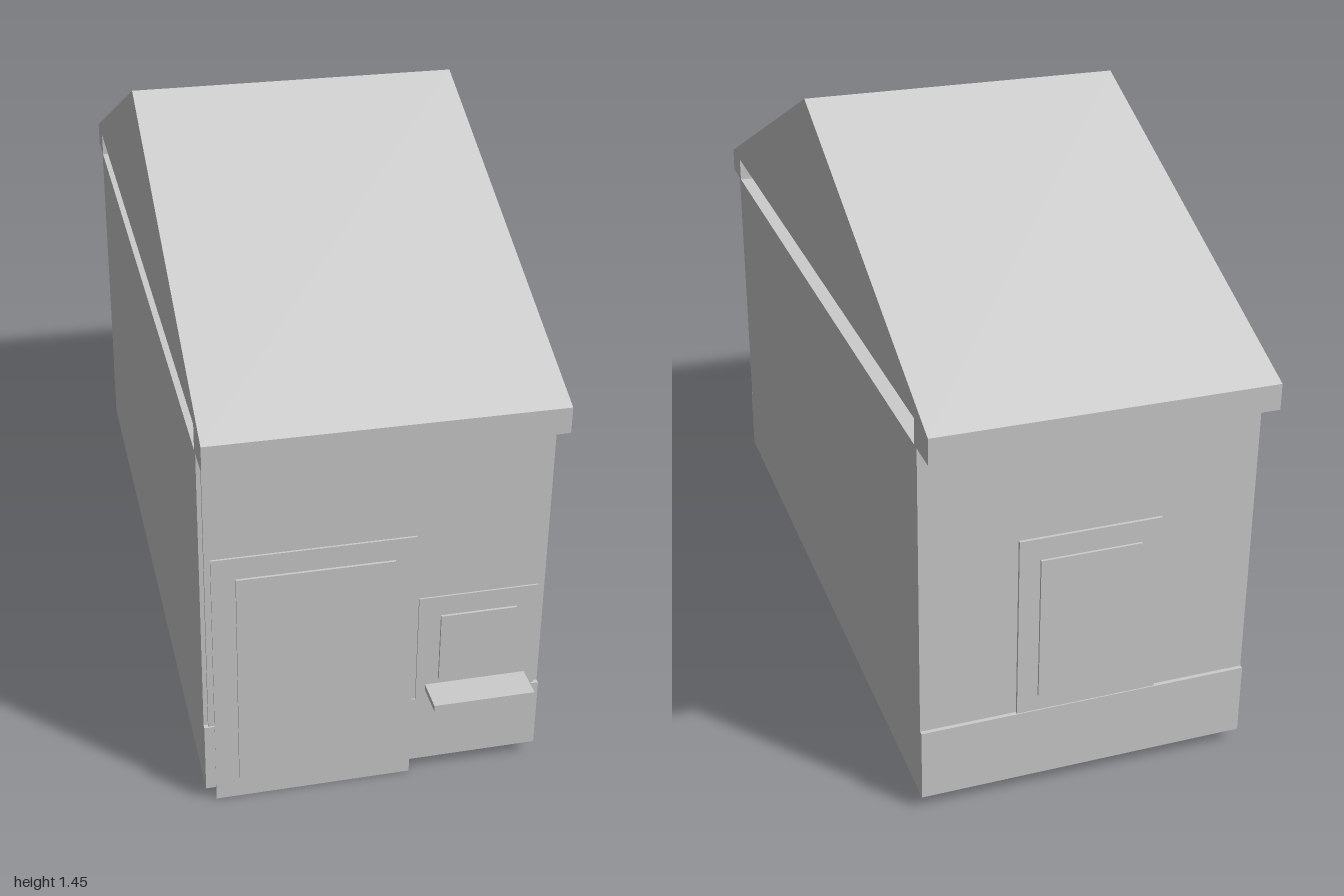
import * as THREE from 'three';

export function createModel() {
  const group = new THREE.Group();
  const plaster = new THREE.MeshStandardMaterial({ color: 0xcccccc });
  plaster.name = 'pale grey';

  const add = (name, geometry) => {
    const mesh = new THREE.Mesh(geometry, plaster);
    mesh.name = name;
    group.add(mesh);
    return mesh;
  };
  // Box given by its limits on each axis
  const box = (name, [x0, x1], [y0, y1], [z0, z1]) =>
    add(name, new THREE.BoxGeometry(x1 - x0, y1 - y0, z1 - z0))
      .position.set((x0 + x1) / 2, (y0 + y1) / 2, (z0 + z1) / 2);

  const W = 0.404;
  const full = [-W, W];

  // Main block and the slightly proud plinths at both ends
  box('body', full, [0.035, 0.945], [-0.914, 0.909]);
  box('frontPlinth', full, [0.035, 0.215], [0.909, 0.92]);
  box('backPlinth', full, [0.035, 0.215], [-0.924, -0.914]);
  box('frontWallPanel', [-0.394, 0.392], [0.215, 0.945], [0.909, 0.916]);

  // Front door: surround and leaf
  box('doorSurround', [-0.38, 0.09], [0, 0.675], [0.913, 0.921]);
  box('doorLeaf', [-0.325, 0.04], [0.055, 0.62], [0.921, 0.927]);

  // Front window with a projecting shelf
  box('windowSurround', [0.1, 0.385], [0.215, 0.502], [0.912, 0.92]);
  box('windowPane', [0.153, 0.335], [0.268, 0.45], [0.92, 0.926]);
  box('windowShelf', [0.122, 0.365], [0.24, 0.255], [0.92, 1.0]);

  // Back window
  box('backWindowSurround', [-0.172, 0.172], [0.215, 0.675], [-0.921, -0.914]);
  box('backWindowPane', [-0.122, 0.122], [0.257, 0.62], [-0.927, -0.921]);

  // Eaves beams carry the roof and leave an open gap along the sides
  box('frontEavesBeam', full, [0.945, 1.008], [0.893, 0.99]);
  box('backEavesBeam', full, [0.945, 1.008], [-0.995, -0.897]);

  // Gabled roof, extruded across the width
  const gable = new THREE.Shape([
    new THREE.Vector2(-0.99, 1.008),
    new THREE.Vector2(0.995, 1.008),
    new THREE.Vector2(0, 1.445),
  ]);
  const roof = new THREE.ExtrudeGeometry(gable, { depth: 2 * W, bevelEnabled: false });
  roof.translate(0, 0, -W).rotateY(Math.PI / 2); // shape x becomes -z
  add('roof', roof);

  return group;
}
